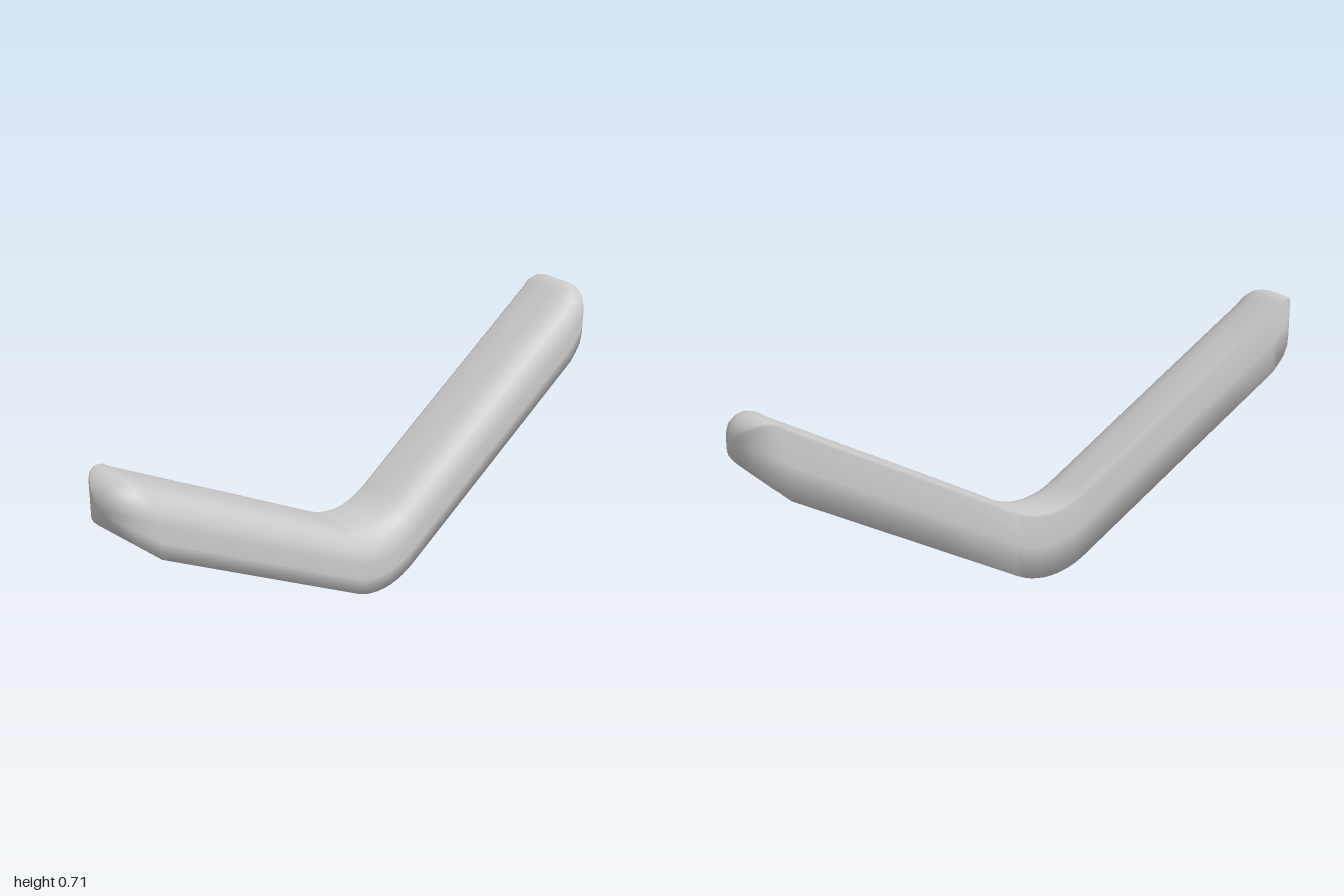
import * as THREE from 'three';

// Cross-section as (x, height fraction): square on one side, upper +x corner rounded
function sectionPoints() {
  const pts = [[-0.1075, 0], [-0.1075, 0.5], [-0.1075, 0.96], [-0.098, 1], [-0.04, 1], [0.01, 0.995]];
  for (let i = 1; i <= 6; i++) {
    const a = (i / 6) * Math.PI / 2;
    pts.push([0.02 + 0.0865 * Math.sin(a), 0.5 + 0.48 * Math.cos(a)]);
  }
  pts.push([0.105, 0.25], [0.1035, 0], [0, 0]);
  return pts;
}

// Stations along one arm: [z, bottom y, top y, width scale]
function armStations() {
  const list = [];
  // bend
  for (let i = 0; i <= 5; i++) {
    const a = (i / 5) * Math.PI / 6;
    const y = 0.25 * (1 - Math.cos(a));
    list.push([0.25 * Math.sin(a), y, y + 0.21, 1]);
  }
  // straight arm
  for (const z of [0.4, 0.7, 0.88]) {
    const y = 0.0335 + (z - 0.125) * 0.588;
    list.push([z, y, y + 0.212, 1]);
  }
  // rounded tip
  list.push([0.905, 0.502, 0.708, 0.995], [0.93, 0.524, 0.715, 0.95], [0.955, 0.55, 0.711, 0.83],
    [0.975, 0.576, 0.7, 0.66], [0.99, 0.602, 0.683, 0.44], [0.998, 0.625, 0.66, 0.2]);
  return list;
}

function loft(stations, section) {
  const positions = [], index = [], n = section.length;
  for (const [z, bottom, top, s] of stations) {
    for (const [x, h] of section) positions.push(x * s, bottom + (top - bottom) * h, z);
  }
  for (let r = 0; r < stations.length - 1; r++) {
    for (let i = 0; i < n; i++) {
      const a = r * n + i, b = r * n + (i + 1) % n;
      index.push(a, a + n, b, b, a + n, b + n);
    }
  }
  // close both tips with a fan to a centre point
  for (const [r, sign, flip] of [[0, -1, false], [stations.length - 1, 1, true]]) {
    const c = positions.length / 3;
    positions.push(0, 0.642, sign);
    for (let i = 0; i < n; i++) {
      const a = r * n + i, b = r * n + (i + 1) % n;
      if (flip) index.push(c, b, a);
      else index.push(c, a, b);
    }
  }
  const g = new THREE.BufferGeometry();
  g.setAttribute('position', new THREE.Float32BufferAttribute(positions, 3));
  g.setIndex(index);
  g.computeVertexNormals();
  return g;
}

export function createModel() {
  const group = new THREE.Group();
  group.name = 'bentBar';
  // mirror one arm to get the whole V
  const arm = armStations();
  const back = arm.slice(1).reverse().map(([z, b, t, s]) => [-z, b, t, s]);
  const material = new THREE.MeshStandardMaterial({ color: 0xcccccc, side: THREE.DoubleSide });
  const bar = new THREE.Mesh(loft([...back, ...arm], sectionPoints()), material);
  bar.name = 'angledBar';
  group.add(bar);
  return group;
}
